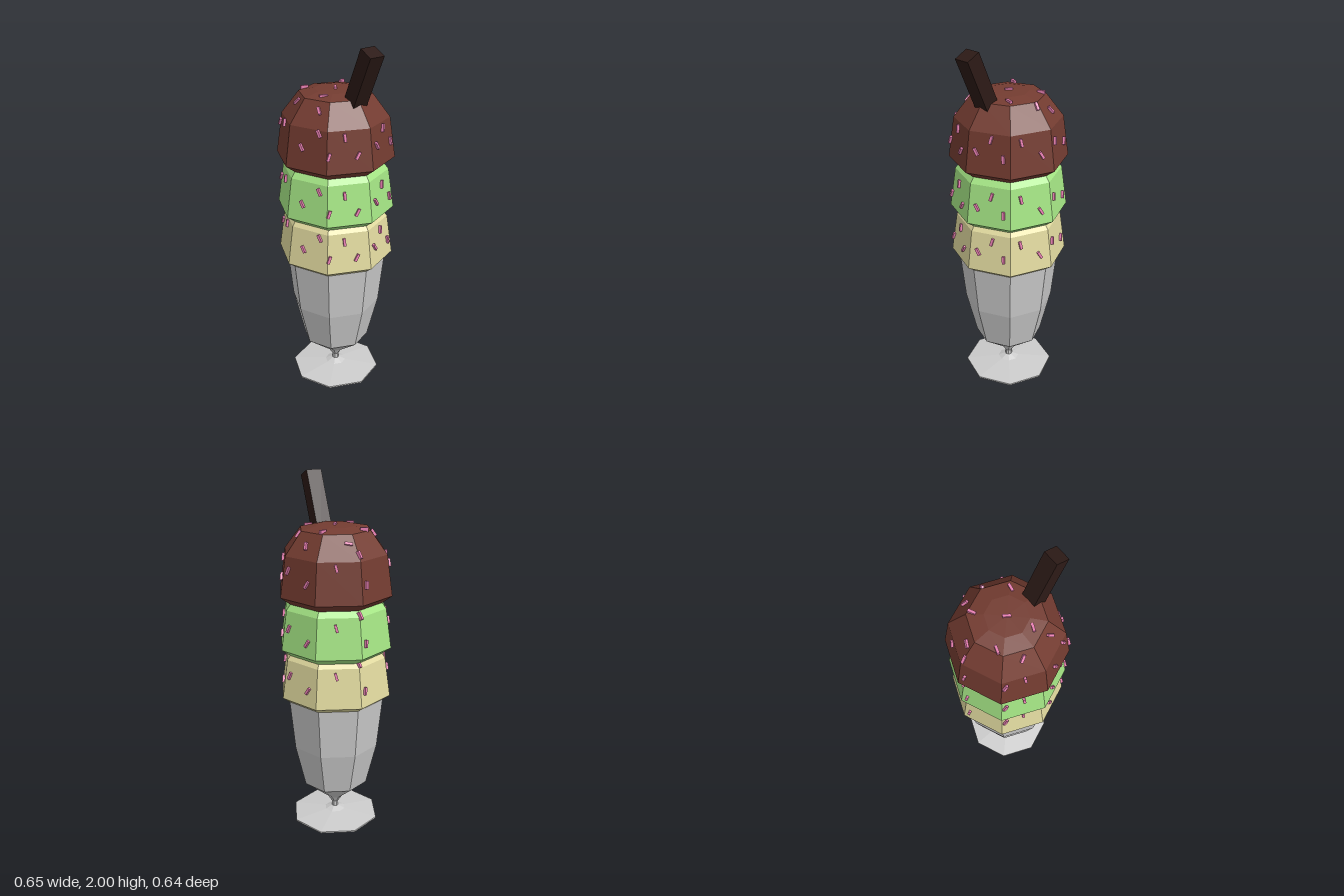
import * as THREE from 'three';

const SIDES = 8;
const STEP = Math.PI * 2 / SIDES;
const AXIS_X = -0.004;

const material = (color) => new THREE.MeshStandardMaterial({ color, flatShading: true });

function lathe(name, profile, mat) {
  const points = profile.map(([r, y]) => new THREE.Vector2(r, y));
  const mesh = new THREE.Mesh(new THREE.LatheGeometry(points, SIDES), mat);
  mesh.name = name;
  return mesh;
}

// Foot, stem and cup: [radius, height]
const GLASS = [
  [0, 0.004], [0.255, 0.004], [0.255, 0.013], [0.06, 0.033], [0.02, 0.05], [0.02, 0.08],
  [0.045, 0.12], [0.19, 0.24], [0.25, 0.49], [0.28, 0.78], [0, 0.78],
];

// One scoop, heights measured from its widest ring
const SCOOP = [
  [0, -0.045], [0.26, -0.045], [0.32, 0], [0.288, 0.22], [0.195, 0.342], [0.11, 0.36], [0, 0.363],
];

// Sprinkles on the scoop walls: [degrees around from the front, height, spin]
const WALL_SPRINKLES = [
  [16, 0.12, 32], [-21, 0.2, 5], [36, 0.205, 30], [-41.5, 0.175, -28], [62.7, 0.185, 5],
  [46.6, 0.095, -20], [76, 0.09, -30], [98.8, 0.12, 30], [114.5, 0.19, -15], [128, 0.1, 5],
  [145.8, 0.18, 10], [168, 0.1, 30], [186.6, 0.15, -20], [214, 0.1, -30], [244.8, 0.19, 15],
  [270.5, 0.25, -5], [275.6, 0.1, -10],
];

// Sprinkles on the upper slope, top scoop only
const SLOPE_SPRINKLES = [
  [176, 0.325, 5], [261.7, 0.3, 80], [-18.8, 0.31, -30], [31, 0.3, 35], [203, 0.28, 20],
];

// Sprinkles lying on the crown: [x, z, spin]
const CROWN_SPRINKLES = [
  [-0.001, 0, 55], [-0.111, -0.125, 25], [0.111, -0.105, -12], [-0.141, 0.097, -20], [0.059, 0.12, -25],
];

const sprinkleGeometry = new THREE.BoxGeometry(0.014, 0.042, 0.022);

function sprinkle(mat) {
  const mesh = new THREE.Mesh(sprinkleGeometry, mat);
  mesh.name = 'sprinkle';
  mesh.rotation.order = 'YXZ';
  return mesh;
}

// Lay a sprinkle flat on the facet found at an angle and height
function wallSprinkle([degrees, y, spin], mat) {
  const angle = THREE.MathUtils.degToRad(degrees);
  const facet = (Math.floor(angle / STEP) + 0.5) * STEP;
  let i = 2;
  while (y > SCOOP[i + 1][1]) i++;
  const [r0, y0] = SCOOP[i];
  const [r1, y1] = SCOOP[i + 1];
  const apothem = Math.cos(STEP / 2);
  const distance = (r0 + (r1 - r0) * (y - y0) / (y1 - y0)) * apothem + 0.002;
  const mesh = sprinkle(mat);
  mesh.position.set(distance * Math.tan(angle - facet), y, distance)
    .applyAxisAngle(new THREE.Vector3(0, 1, 0), facet);
  const lean = Math.atan2((r1 - r0) * apothem, y1 - y0);
  mesh.rotation.set(lean, facet, THREE.MathUtils.degToRad(spin));
  return mesh;
}

export function createModel() {
  const model = new THREE.Group();
  model.name = 'iceCreamSundae';
  const pink = material(0xe87fb2);

  const body = new THREE.Group();
  body.name = 'sundaeBody';
  body.position.set(AXIS_X, 0, -0.001);
  body.add(lathe('glass', GLASS, material(0xcccccc)));

  // Stacked scoops: widest-ring height, colour, shift of the sprinkles
  const scoops = [
    ['vanillaScoop', 0.81, 0xe2dba0, -0.01],
    ['mintScoop', 1.09, 0xa5e685, -0.022],
    ['chocolateScoop', 1.382, 0x743c31, 0],
  ];
  scoops.forEach(([name, y, color, shift], index) => {
    const scoop = new THREE.Group();
    scoop.name = name;
    scoop.position.y = y;
    scoop.add(lathe('scoopBody', SCOOP, material(color)));
    for (const [degrees, h, spin] of WALL_SPRINKLES) {
      scoop.add(wallSprinkle([degrees, h + shift, spin], pink));
    }
    if (index === 2) {
      for (const entry of SLOPE_SPRINKLES) scoop.add(wallSprinkle(entry, pink));
      for (const [x, z, spin] of CROWN_SPRINKLES) {
        const mesh = sprinkle(pink);
        const r = Math.hypot(x, z);
        mesh.position.set(x, r < 0.1 ? 0.361 : 0.35, z);
        mesh.rotation.set(-Math.PI / 2, 0, THREE.MathUtils.degToRad(spin));
        scoop.add(mesh);
      }
    }
    body.add(scoop);
  });
  model.add(body);

  // Chocolate stick leaning out of the top scoop
  const length = 0.42;
  const tilt = THREE.MathUtils.degToRad(24.5);
  const stick = new THREE.Mesh(new THREE.BoxGeometry(0.083, length, 0.087), material(0x2c1a16));
  stick.name = 'chocolateStick';
  stick.rotation.z = -tilt;
  stick.position.set(0.287 - Math.sin(tilt) * length / 2, 1.983 - Math.cos(tilt) * length / 2, -0.003);
  model.add(stick);

  return model;
}
